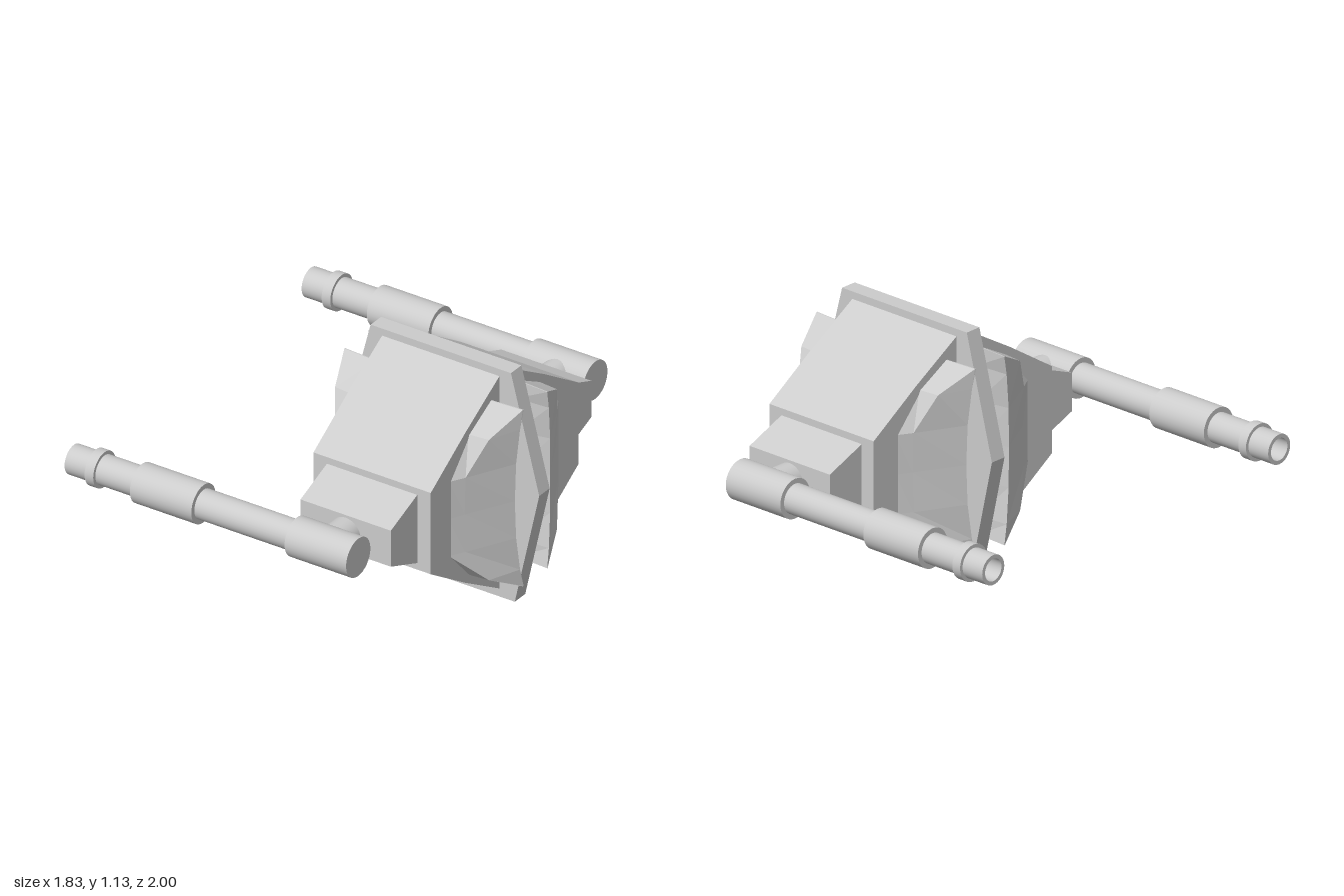
import * as THREE from 'three';
import { toCreasedNormals } from 'three/addons/utils/BufferGeometryUtils.js';

const MID_Y = 0.57;   // height of the symmetry plane
const MID_X = 0.4;    // centre of the hull across x
const mat = new THREE.MeshStandardMaterial({ color: 0xcccccc });
const flat = new THREE.MeshStandardMaterial({ color: 0xcccccc, flatShading: true, side: THREE.DoubleSide });

function add(parent, name, geometry, material = mat) {
  const mesh = new THREE.Mesh(geometry, material);
  mesh.name = name;
  parent.add(mesh);
  return mesh;
}

// Extrusion of a 2D outline, centred on its depth
function extrude(points, depth) {
  const shape = new THREE.Shape(points.map(([x, y]) => new THREE.Vector2(x, y)));
  return new THREE.ExtrudeGeometry(shape, { depth, bevelEnabled: false }).translate(0, 0, -depth / 2);
}

// Side profile given as (z, y) and extruded along x
const prism = (points, width) => extrude(points, width).rotateY(-Math.PI / 2);

// Flared side petal: four-point sections stacked from bottom to top
function petalGeometry(sx, sz) {
  // [height, root z, ridge x, ridge z, rim x, rim z]
  const upper = [
    [0, 0.42, 0.335, 0.35, 0.45, 0.135],
    [0.185, 0.42, 0.34, 0.35, 0.453, 0.13],
    [0.35, 0.27, 0.4, 0.26, 0.46, 0.11],
    [0.44, 0.105, 0.464, 0.095, 0.465, 0.09],
  ];
  const rows = [...upper.slice(1).reverse().map(([h, ...r]) => [-h, ...r]), ...upper];
  const pos = [], idx = [];
  for (const [h, rootZ, ridgeX, ridgeZ, rimX, rimZ] of rows) {
    const section = [[0.3, rootZ], [ridgeX, ridgeZ], [rimX, rimZ], [0.3, 0.1]];
    for (const [x, z] of section) pos.push(sx * x, h, sz * z);
  }
  const tri = (a, b, c) => (sx * sz > 0 ? idx.push(a, b, c) : idx.push(a, c, b));
  for (let r = 0; r < rows.length - 1; r++) {
    for (let k = 0; k < 4; k++) {
      const a = r * 4 + k, b = r * 4 + (k + 1) % 4;
      tri(a, a + 4, b);
      tri(b, a + 4, b + 4);
    }
  }
  const top = (rows.length - 1) * 4;
  tri(0, 1, 2); tri(0, 2, 3);
  tri(top, top + 2, top + 1); tri(top, top + 3, top + 2);
  const g = new THREE.BufferGeometry();
  g.setAttribute('position', new THREE.Float32BufferAttribute(pos, 3));
  g.setIndex(idx);
  const out = g.toNonIndexed();
  out.computeVertexNormals();
  return out;
}

// Turned gun with a hollow muzzle, pointing along -x
function gunGeometry() {
  const profile = [
    [0, -0.56], [0.093, -0.56], [0.093, -0.24], [0.07, -0.24],
    [0.07, 0.245], [0.093, 0.245], [0.093, 0.565], [0.07, 0.565],
    [0.07, 0.76], [0.086, 0.76], [0.086, 0.805], [0.07, 0.805],
    [0.07, 0.92], [0.052, 0.92], [0.052, 0.83], [0, 0.83],
  ].map(([r, y]) => new THREE.Vector2(r, y));
  const g = new THREE.LatheGeometry(profile, 32).rotateZ(Math.PI / 2);
  return toCreasedNormals(g, 0.6);
}

export function createModel() {
  const model = new THREE.Group();
  model.name = 'twinGunPod';

  // Central hexagonal plate
  add(model, 'centrePlate', extrude([
    [0.015, 0], [0.785, 0], [0.912, MID_Y], [0.765, 1.135], [0.035, 1.135], [-0.112, MID_Y],
  ], 0.08));

  // Hull with sloping upper and lower faces
  const hull = [
    [0.04, 0.04], [0.3, 0.195], [0.565, 0.367], [0.565, 0.773], [0.3, 0.945], [0.04, 1.1],
  ];
  const mirrored = hull.map(([z, y]) => [-z, y]).reverse();
  add(model, 'hull', prism([...hull, ...mirrored], 0.61)).position.x = MID_X;

  for (const sz of [1, -1]) {
    const end = sz > 0 ? 'front' : 'back';

    // Tapered gun mount
    const mount = [[0.55, 0.397], [0.565, 0.4], [0.767, 0.48], [0.767, 0.66], [0.565, 0.74], [0.55, 0.743]];
    add(model, end + 'Mount', prism(mount.map(([z, y]) => [sz * z, y]), 0.47)).position.x = MID_X;

    // Pivot joining mount and gun
    const pivot = new THREE.CylinderGeometry(0.077, 0.077, 0.15, 32).rotateX(Math.PI / 2);
    add(model, end + 'Pivot', pivot).position.set(MID_X, MID_Y, sz * 0.83);

    add(model, end + 'Gun', gunGeometry()).position.set(0, MID_Y, sz * 0.906);

    // Petals on both flanks
    for (const sx of [1, -1]) {
      const name = end + (sx > 0 ? 'Left' : 'Right') + 'Petal';
      add(model, name, petalGeometry(sx, sz), flat).position.set(MID_X, MID_Y, 0);
    }
  }
  return model;
}
